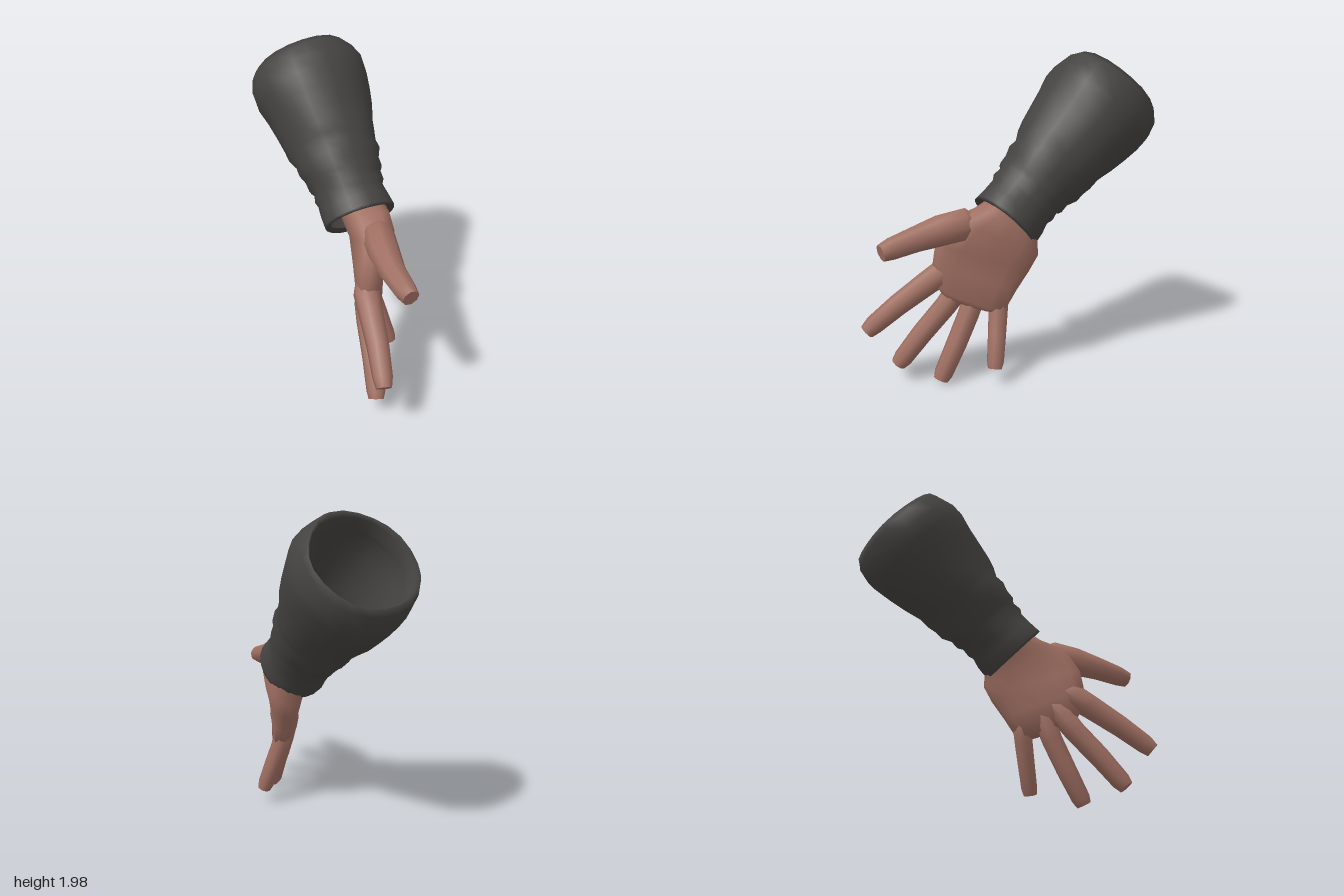
import * as THREE from 'three';
import { toCreasedNormals } from 'three/addons/utils/BufferGeometryUtils.js';

const V = (a) => new THREE.Vector3(...a);

// Skin a list of equal-sized point rings; caps close the ends.
function loft(rings, capped) {
  const n = rings[0].length, pos = [], idx = [];
  rings.forEach((r) => r.forEach((p) => pos.push(p.x, p.y, p.z)));
  for (let i = 0; i < rings.length - 1; i++) {
    for (let j = 0; j < n; j++) {
      const k = (j + 1) % n, a = i * n + j, b = i * n + k;
      idx.push(a, b, a + n, b, b + n, a + n);
    }
  }
  const cap = (i, flip) => {
    const c = new THREE.Vector3();
    rings[i].forEach((p) => c.addScaledVector(p, 1 / n));
    const m = pos.length / 3;
    pos.push(c.x, c.y, c.z);
    for (let j = 0; j < n; j++) {
      const a = i * n + j, b = i * n + (j + 1) % n;
      if (flip) idx.push(m, b, a); else idx.push(m, a, b);
    }
  };
  if (capped) {
    cap(0, true);
    cap(rings.length - 1, false);
  }
  const g = new THREE.BufferGeometry();
  g.setAttribute('position', new THREE.Float32BufferAttribute(pos, 3));
  g.setIndex(idx);
  g.computeVertexNormals();
  return g;
}

// One ring round centre c, where u x v points along the loft.
function ring(c, u, v, n, radius = () => 1, power = 1) {
  const sgn = (t) => Math.sign(t) * Math.abs(t) ** power;
  return Array.from({ length: n }, (_, j) => {
    const t = (j / n) * Math.PI * 2, r = radius(t);
    return c.clone().addScaledVector(u, sgn(Math.cos(t)) * r).addScaledVector(v, sgn(Math.sin(t)) * r);
  });
}

// Tapered digit through [x, y, z, radius] joints, ending in a blunt tip.
function digit(joints) {
  const pts = joints.map((j) => V(j.slice(0, 3)));
  const rings = pts.map((p, i) => {
    const d = pts[Math.min(i + 1, pts.length - 1)].clone().sub(pts[Math.max(i - 1, 0)]).normalize();
    const u = V([1, 0, 0]).addScaledVector(d, -d.x).normalize();
    const v = d.clone().cross(u);
    const r = joints[i][3];
    return ring(p, u.multiplyScalar(r), v.multiplyScalar(r), 8);
  });
  return toCreasedNormals(loft(rings, true), 0.9);
}

export function createModel() {
  const model = new THREE.Group();
  const skin = new THREE.MeshStandardMaterial({ color: 0xa06f62 });
  skin.name = 'skin';
  const cloth = new THREE.MeshStandardMaterial({ color: 0x454341, side: THREE.DoubleSide });
  cloth.name = 'dark cloth';
  const add = (parent, name, geometry, material) => {
    const m = new THREE.Mesh(geometry, material);
    m.name = name;
    parent.add(m);
  };

  // Sleeve: [position along the arm, radius], rolled rim first, cuff last
  const top = V([-0.33, 1.63, -0.47]), end = V([0.17, 0.97, 0.03]);
  const axis = end.clone().sub(top).normalize();
  const su = V([0, 1, 0]).addScaledVector(axis, -axis.y).normalize();
  const sv = axis.clone().cross(su);
  const profile = [
    [-0.05, 0.3], [-0.135, 0.308], [-0.165, 0.325], [-0.125, 0.35], [-0.03, 0.374], [0.06, 0.372],
    [0.17, 0.349], [0.28, 0.327], [0.4, 0.299], [0.47, 0.289], [0.53, 0.268], [0.59, 0.27],
    [0.65, 0.245], [0.71, 0.243], [0.74, 0.222], [0.8, 0.228], [0.83, 0.213], [0.9, 0.222],
    [0.98, 0.228], [1.0, 0.222], [0.98, 0.185],
  ];
  const sleeve = profile.map(([t, r], i) => {
    const c = top.clone().lerp(end, t);
    // the wide end sags slightly on the underside
    if (t < 0.35) c.addScaledVector(su, -0.006);
    // soft creases that drift round the arm
    const crease = (a) => r * (1 + 0.018 * Math.sin(3 * a + i * 0.9) + 0.014 * Math.sin(5 * a - i * 1.7));
    return ring(c, su, sv, 22, crease);
  });
  add(model, 'sleeve', loft(sleeve, false), cloth);

  // Palm: [little-finger edge, thumb edge, half thickness]
  const hand = new THREE.Group();
  hand.name = 'hand';
  model.add(hand);
  const down = V([0.32, -0.9, 0.28]).normalize();
  const sections = [
    [[-0.01, 1.07, -0.19], [0.11, 1.19, -0.01], 0.12],
    [[0.11, 0.91, -0.15], [0.28, 1.08, 0.17], 0.14],
    [[0.15, 0.77, -0.175], [0.36, 1.03, 0.31], 0.132],
    [[0.18, 0.67, -0.13], [0.355, 0.87, 0.41], 0.108],
    [[0.22, 0.555, -0.06], [0.345, 0.73, 0.435], 0.088],
    [[0.255, 0.465, -0.012], [0.35, 0.61, 0.415], 0.068],
    [[0.275, 0.45, 0.02], [0.355, 0.575, 0.39], 0.035],
  ];
  const palm = sections.map(([a, b, h], i) => {
    const u = V(b).sub(V(a)).multiplyScalar(0.5);
    const v = down.clone().cross(u).normalize().multiplyScalar(h);
    const pts = ring(V(a).add(V(b)).multiplyScalar(0.5), u, v, 16, undefined, 0.72);
    // the knuckle line dips in the middle
    if (i > 4) pts.forEach((p, j) => { p.y -= 0.05 * Math.abs(Math.sin((j / 16) * Math.PI * 2)); });
    return pts;
  });
  add(hand, 'palm', toCreasedNormals(loft(palm, true), 1.3), skin);

  // Digits, each starting from a narrow root buried in the palm
  const digits = {
    thumb: [[0.27, 0.95, 0.15, 0.06], [0.345, 0.99, 0.235, 0.104], [0.415, 0.965, 0.365, 0.094], [0.5, 0.928, 0.49, 0.077], [0.6, 0.895, 0.6, 0.066], [0.645, 0.88, 0.645, 0.052]],
    indexFinger: [[0.28, 0.75, 0.28, 0.05], [0.32, 0.675, 0.38, 0.08], [0.365, 0.62, 0.46, 0.075], [0.46, 0.5, 0.62, 0.067], [0.53, 0.385, 0.755, 0.059], [0.55, 0.345, 0.795, 0.046]],
    middleFinger: [[0.26, 0.65, 0.235, 0.045], [0.295, 0.55, 0.305, 0.071], [0.325, 0.46, 0.365, 0.068], [0.4, 0.3, 0.495, 0.065], [0.455, 0.15, 0.605, 0.059], [0.465, 0.11, 0.635, 0.046]],
    ringFinger: [[0.25, 0.62, 0.165, 0.045], [0.28, 0.5, 0.2, 0.069], [0.305, 0.41, 0.225, 0.066], [0.37, 0.24, 0.285, 0.064], [0.43, 0.06, 0.355, 0.058], [0.445, 0.02, 0.37, 0.045]],
    littleFinger: [[0.235, 0.6, 0.04, 0.045], [0.255, 0.49, 0.045, 0.062], [0.275, 0.41, 0.045, 0.06], [0.32, 0.29, 0.042, 0.057], [0.375, 0.14, 0.04, 0.053], [0.39, 0.1, 0.04, 0.043]],
  };
  for (const [name, joints] of Object.entries(digits)) add(hand, name, digit(joints), skin);

  return model;
}
